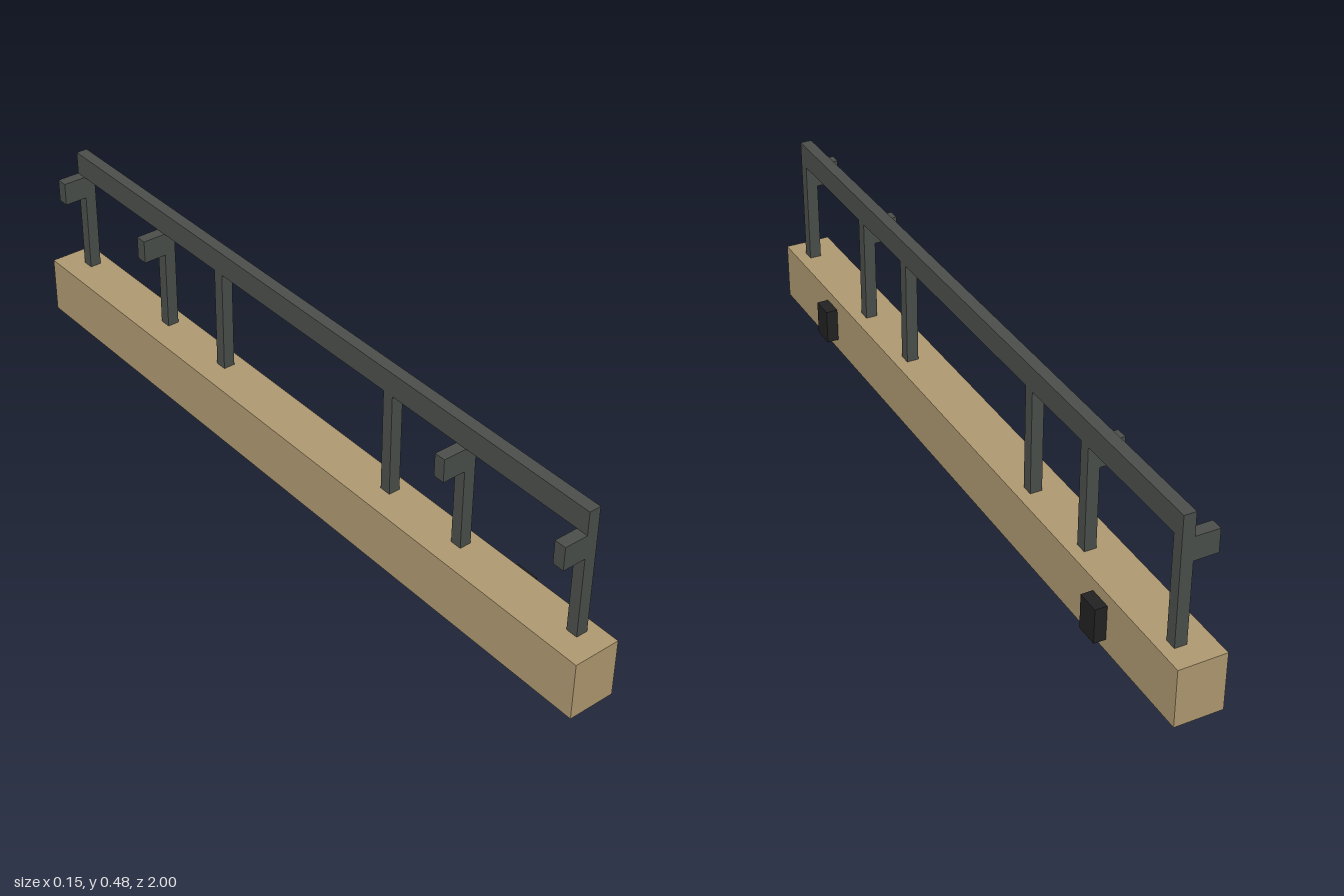
import * as THREE from 'three';

// Every dimension is a whole or half multiple of one unit
const U = 2 / 66;

export function createModel() {
  const model = new THREE.Group();
  model.name = 'beamWithRailing';

  const material = (name, color) => {
    const m = new THREE.MeshStandardMaterial({ color });
    m.name = name;
    return m;
  };
  const wood = material('tanWood', 0xae9870);
  const metal = material('greyMetal', 0x4a4e4a);
  const rubber = material('blackRubber', 0x222222);

  // Box given by its min and max corners, in units
  const box = (name, mat, [x0, y0, z0], [x1, y1, z1]) => {
    const geometry = new THREE.BoxGeometry((x1 - x0) * U, (y1 - y0) * U, (z1 - z0) * U);
    const mesh = new THREE.Mesh(geometry, mat);
    mesh.position.set((x0 + x1) / 2 * U, (y0 + y1) / 2 * U, (z0 + z1) / 2 * U);
    mesh.name = name;
    model.add(mesh);
  };

  box('beam', wood, [-2.5, 0, -33], [1.5, 5, 33]);
  box('topRail', metal, [-0.5, 14, -31], [0.5, 16, 31]);

  for (const side of [-1, 1]) {
    // Posts under the rail; the outer two of each half carry a bracket
    for (const [distance, hasBracket] of [[30.5, true], [18.5, true], [10.5, false]]) {
      const z = side * distance;
      box('post', metal, [-0.5, 5, z - 0.5], [0.5, 14, z + 0.5]);
      if (hasBracket) box('bracket', metal, [-2.5, 12, z - 0.5], [-0.5, 14, z + 0.5]);
    }
    // Bumper block on the left face of the beam
    box('bumper', rubber, [1.5, 1, side * 23 - 1], [2.5, 4, side * 23 + 1]);
  }
  return model;
}
